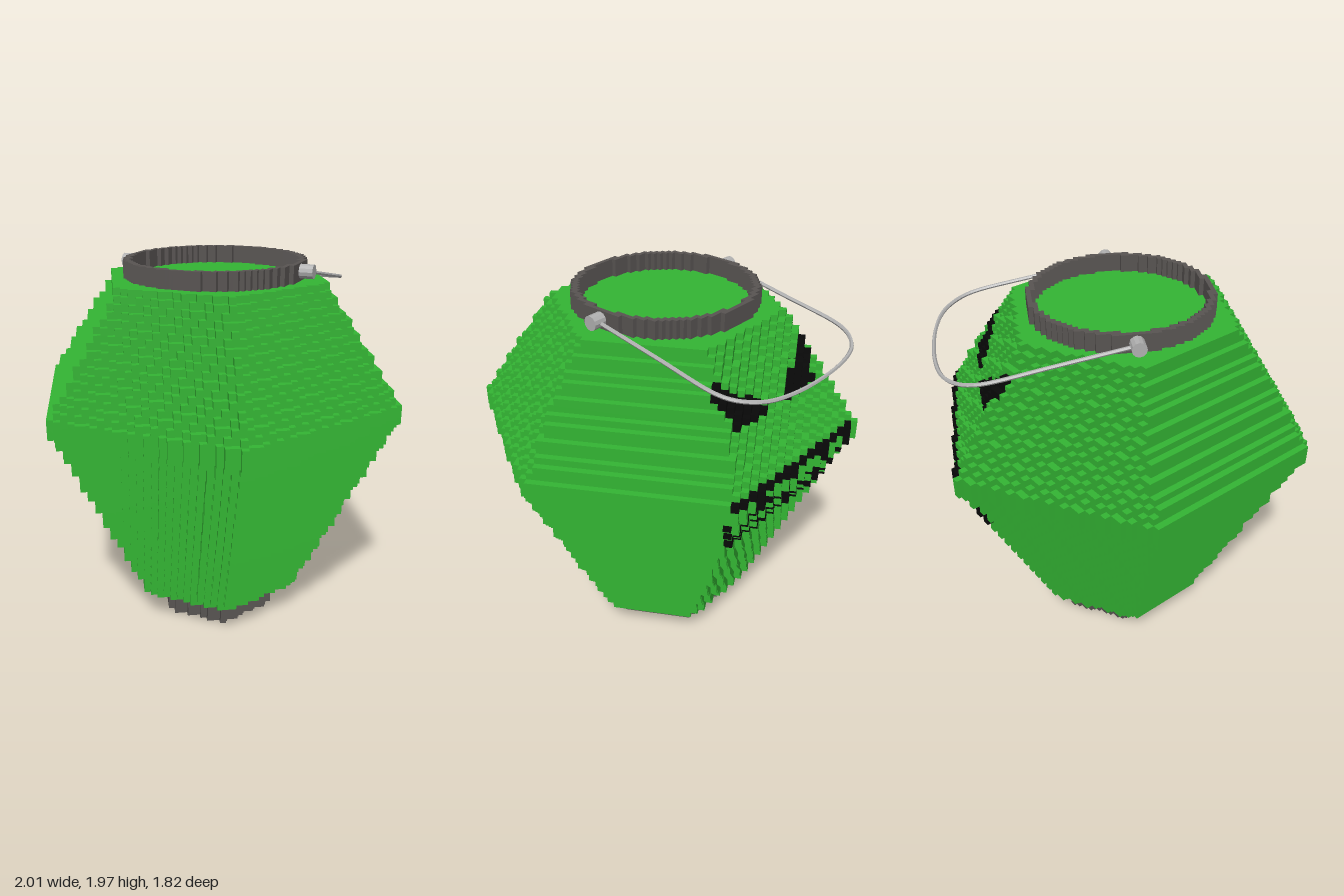
import * as THREE from 'three';
import { mergeGeometries } from 'three/addons/utils/BufferGeometryUtils.js';

const S = 0.0342;      // block size
const CZ = 0.025;      // axis of the lantern in z
const TURN = -Math.PI / 3; // block grid is turned against the model axes
const BODY_Y = 5 * S, LAYERS = 50;

const mat = (color) => new THREE.MeshStandardMaterial({ color, flatShading: true });
const lerp = THREE.MathUtils.lerp;

function add(parent, name, geometry, material) {
  const mesh = new THREE.Mesh(geometry, material);
  mesh.name = name;
  parent.add(mesh);
  return mesh;
}

// Rows of blocks filling a hexagon of corner radius R: half length of each row
const rowCount = (R) => Math.round((R * 0.866) / S - 0.5);
const rowHalf = (R, j) => (Math.max(0, Math.round((R - (Math.abs(j) * S) / 1.732) / S - 0.5)) + 0.5) * S;

// One layer of blocks with a stepped hexagonal outline
function hexLayer(R, y) {
  const n = rowCount(R), pts = [];
  const put = (x, z) => pts.push(new THREE.Vector2(x, z));
  for (const side of [1, -1]) {
    for (let i = -n; i <= n; i++) {
      const j = i * side, h = rowHalf(R, j) * side;
      const last = pts[pts.length - 1];
      if (last && i > -n && Math.abs(last.x - h) < 1e-6) pts.pop();
      else put(h, (j - 0.5 * side) * S);
      put(h, (j + 0.5 * side) * S);
    }
  }
  const g = new THREE.ExtrudeGeometry(new THREE.Shape(pts), { depth: S, bevelEnabled: false });
  return g.rotateX(-Math.PI / 2).translate(0, y, 0);
}

// Corner radius of the body at a layer: widens to the waist, then narrows
function bodyRadius(k) {
  if (k < 30) return lerp(0.475, 0.985, k / 30);
  if (k <= 32) return 1.0;
  return lerp(0.975, 0.6, (k - 33) / 16);
}

function inTriangle(x, y, [ax, ay], [bx, by], [cx, cy]) {
  const d1 = (x - bx) * (ay - by) - (ax - bx) * (y - by);
  const d2 = (x - cx) * (by - cy) - (bx - cx) * (y - cy);
  const d3 = (x - ax) * (cy - ay) - (cx - ax) * (y - ay);
  return (d1 >= 0 && d2 >= 0 && d3 >= 0) || (d1 <= 0 && d2 <= 0 && d3 <= 0);
}

const isEye = (x, y) => inTriangle(Math.abs(x), y, [0.07, 1.55], [0.33, 1.53], [0.4, 1.79]);

// Framed zigzag teeth
function isMouth(x, y) {
  const x0 = -0.45, x1 = 0.56, y0 = 0.95, y1 = 1.29;
  if (x < x0 || x > x1 || y < y0 || y > y1) return false;
  if (y - y0 < S || y1 - y < S || x - x0 < 0.05 || x1 - x < 0.05) return true;
  const t = ((x - x0) / (x1 - x0)) * 4;
  const zig = Math.abs((t % 1) * 2 - 1);
  return Math.abs(zig - (y - y0) / (y1 - y0)) < 0.2;
}

// Dark blocks laid over the row ends of the back side
function faceBlocks(test) {
  const parts = [];
  for (let k = 0; k < LAYERS; k++) {
    const R = bodyRadius(k), y = BODY_Y + (k + 0.5) * S;
    for (let j = 0; j <= rowCount(R); j++) {
      const u = -rowHalf(R, j) + S / 2, v = j * S;
      if (!test(u * 0.5 + v * 0.866, y)) continue;
      parts.push(new THREE.BoxGeometry(S * 1.1, S * 1.06, S * 1.06).translate(u, y, -v));
    }
  }
  return mergeGeometries(parts);
}

// Round collar made of small square columns
function collarGeometry() {
  const c = 0.0228, parts = [];
  for (let i = -20; i < 20; i++) {
    for (let j = -20; j < 20; j++) {
      const x = (i + 0.5) * c, z = (j + 0.5) * c, r = Math.hypot(x, z);
      if (r < 0.428 || r > 0.46) continue;
      parts.push(new THREE.BoxGeometry(c, 0.092, c).translate(x, 1.926, z + CZ));
    }
  }
  return mergeGeometries(parts);
}

export function createModel() {
  const model = new THREE.Group();
  model.name = 'lantern';
  const green = mat(0x33b433), dark = mat(0x585452), black = mat(0x080808), metal = mat(0xb0b0b0);

  const blocks = new THREE.Group();
  blocks.name = 'blockBody';
  blocks.rotation.y = TURN;
  blocks.position.z = CZ;
  model.add(blocks);

  // Base and body
  const baseRadii = [0.315, 0.35, 0.35, 0.35, 0.38];
  add(blocks, 'base', mergeGeometries(baseRadii.map((R, k) => hexLayer(R, k * S))), dark);
  const layers = Array.from({ length: LAYERS }, (_, k) => hexLayer(bodyRadius(k), BODY_Y + k * S));
  add(blocks, 'body', mergeGeometries(layers), green);

  // Carved face on the back
  add(blocks, 'eyes', faceBlocks(isEye), black);
  add(blocks, 'mouth', faceBlocks(isMouth), black);

  // Collar around the top
  add(model, 'collar', collarGeometry(), dark);

  // Hinge pins
  for (const side of [1, -1]) {
    const pin = add(model, side > 0 ? 'leftHinge' : 'rightHinge', new THREE.CylinderGeometry(0.036, 0.036, 0.075, 12), metal);
    pin.rotation.z = Math.PI / 2;
    pin.position.set(side * 0.488, 1.93, CZ);
  }

  // Wire handle hanging over the back
  const half = [[0.485, CZ], [0.485, -0.35], [0.485, -0.66], [0.46, -0.74], [0.41, -0.8], [0.33, -0.85], [0.15, -0.888]];
  const outline = [...half, ...half.map(([x, z]) => [-x, z]).reverse()];
  const path = new THREE.CatmullRomCurve3(
    outline.map(([x, z]) => new THREE.Vector3(x, 1.93 + (z - CZ) * 0.19, z)), false, 'centripetal');
  add(model, 'handle', new THREE.TubeGeometry(path, 90, 0.01, 6), metal);

  return model;
}
